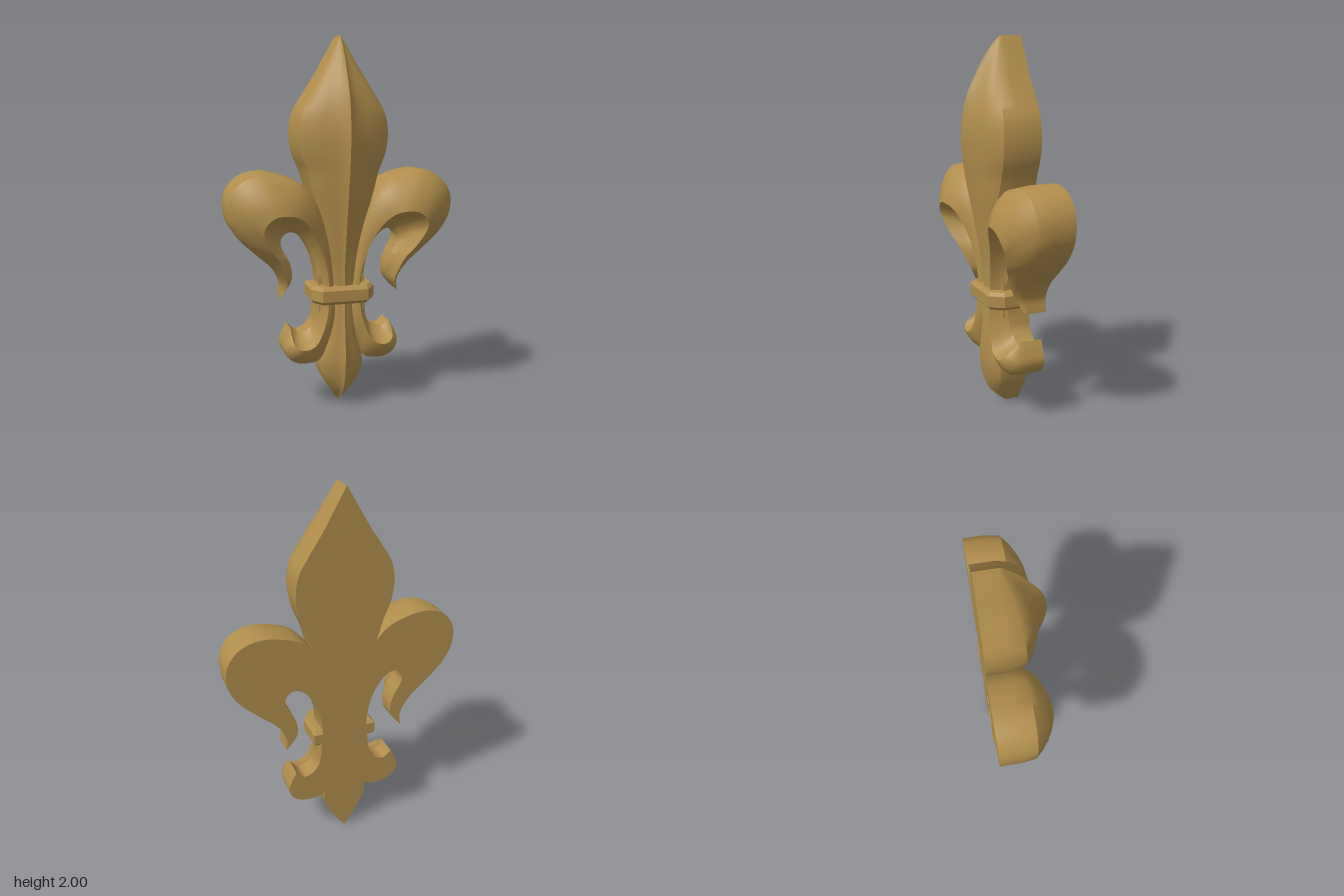
import * as THREE from 'three';
import { toCreasedNormals, mergeVertices } from 'three/addons/utils/BufferGeometryUtils.js';

const BACK = -0.165;

// Cross-section profiles from edge to ridge: [fraction across, fraction of height]
const CUSPED = [[0, 0], [0.07, 0.38], [0.25, 0.55], [0.5, 0.68], [0.75, 0.78], [0.92, 0.9], [1, 1]];
const ROUNDED = [[0, 0], [0.06, 0.43], [0.25, 0.64], [0.5, 0.82], [0.75, 0.94], [1, 1]];
const HOLLOW = [[0, 0], [0.2, 0.1], [0.45, 0.28], [0.7, 0.55], [0.88, 0.82], [1, 1]];

// Lofts a flat-backed petal. Each row is [outer edge, ridge, inner edge] as points.
function petalGeometry(rows, outerProfile, innerProfile, side = 1, steps = 90) {
  const [outer, ridge, inner] = [0, 1, 2].map(
    k => new THREE.CatmullRomCurve3(rows.map(r => new THREE.Vector3(...r[k]))));
  const positions = [], index = [];
  let n = 0;
  for (let i = 0; i <= steps; i++) {
    const t = i / steps;
    const o = outer.getPoint(t), c = ridge.getPoint(t), e = inner.getPoint(t);
    const at = (a, [s, f]) => [a.x + (c.x - a.x) * s, a.y + (c.y - a.y) * s, a.z + (c.z - a.z) * f];
    const loop = [
      [o.x, o.y, BACK],
      ...outerProfile.map(p => at(o, p)),
      ...innerProfile.slice(0, -1).reverse().map(p => at(e, p)),
      [e.x, e.y, BACK],
    ];
    n = loop.length;
    loop.forEach(([x, y, z]) => positions.push(x * side, y, z));
  }
  for (let i = 0; i < steps; i++) {
    for (let j = 0; j < n; j++) {
      const a = i * n + j, b = i * n + (j + 1) % n, c = a + n, d = b + n;
      if (side > 0) index.push(a, b, d, a, d, c);
      else index.push(a, d, b, a, c, d);
    }
  }
  const geometry = new THREE.BufferGeometry();
  geometry.setAttribute('position', new THREE.Float32BufferAttribute(positions, 3));
  geometry.setIndex(index);
  return toCreasedNormals(mergeVertices(geometry, 1e-5), 0.6);
}

// Symmetric petal rows from [y, half width, edge z, ridge z]
const symmetric = list => list.map(([y, w, ez, rz]) => [[-w, y, ez], [0, y, rz], [w, y, ez]]);

export function createModel() {
  const group = new THREE.Group();
  const bronze = new THREE.MeshStandardMaterial({ color: 0xb08d4c });
  bronze.name = 'bronze';
  const add = (name, geometry) => {
    const mesh = new THREE.Mesh(geometry, bronze);
    mesh.name = name;
    group.add(mesh);
    return mesh;
  };

  // Tall pointed centre petal
  add('upperCentrePetal', petalGeometry(symmetric([
    [0.62, 0.05, 0, 0.04], [0.8, 0.07, 0, 0.05], [1.0, 0.115, -0.01, 0.085],
    [1.2, 0.175, -0.03, 0.125], [1.3, 0.205, -0.05, 0.145], [1.4, 0.243, -0.05, 0.158],
    [1.5, 0.255, -0.05, 0.165], [1.6, 0.238, -0.05, 0.157], [1.7, 0.18, -0.05, 0.135],
    [1.8, 0.115, -0.05, 0.09], [1.9, 0.058, -0.06, 0.035], [1.96, 0.024, -0.06, -0.01],
    [2.0, 0.001, -0.06, -0.045],
  ]), CUSPED, CUSPED));

  // Short pointed petal below the band
  add('lowerCentrePetal', petalGeometry(symmetric([
    [0, 0.001, -0.11, -0.09], [0.04, 0.03, -0.1, -0.04], [0.1, 0.067, -0.08, 0.015],
    [0.17, 0.105, -0.06, 0.045], [0.25, 0.121, -0.05, 0.062], [0.32, 0.108, -0.04, 0.065],
    [0.4, 0.08, -0.02, 0.06], [0.5, 0.06, 0, 0.05], [0.64, 0.045, 0, 0.04],
  ]), CUSPED, CUSPED));

  // Large drooping side petals, from band to tip
  const droop = [
    [[0.05, 0.62, 0], [0.075, 0.62, 0.035], [0.12, 0.62, -0.03]],
    [[0.06, 0.78, 0], [0.095, 0.78, 0.045], [0.13, 0.75, -0.04]],
    [[0.085, 0.95, 0], [0.14, 0.92, 0.065], [0.155, 0.85, -0.05]],
    [[0.15, 1.15, -0.01], [0.2, 1.03, 0.1], [0.195, 0.925, -0.05]],
    [[0.23, 1.245, -0.03], [0.26, 1.08, 0.125], [0.23, 0.965, -0.05]],
    [[0.35, 1.292, -0.05], [0.32, 1.095, 0.142], [0.265, 0.98, -0.05]],
    [[0.45, 1.302, -0.05], [0.375, 1.09, 0.145], [0.29, 0.978, -0.05]],
    [[0.55, 1.265, -0.05], [0.42, 1.06, 0.14], [0.31, 0.965, -0.05]],
    [[0.61, 1.18, -0.05], [0.44, 1.01, 0.125], [0.325, 0.94, -0.05]],
    [[0.61, 1.065, -0.05], [0.425, 0.96, 0.105], [0.325, 0.91, -0.05]],
    [[0.555, 0.965, -0.05], [0.39, 0.9, 0.085], [0.31, 0.875, -0.05]],
    [[0.46, 0.87, -0.05], [0.345, 0.84, 0.055], [0.285, 0.83, -0.05]],
    [[0.37, 0.785, -0.06], [0.315, 0.77, 0.025], [0.265, 0.76, -0.06]],
    [[0.325, 0.7, -0.07], [0.3, 0.695, -0.01], [0.272, 0.7, -0.07]],
    [[0.33, 0.625, -0.08], [0.328, 0.628, -0.045], [0.326, 0.63, -0.08]],
  ];

  // Small upturned curls, from tip to band
  const curl = [
    [[0.281, 0.458, -0.06], [0.28, 0.457, -0.04], [0.279, 0.457, -0.06]],
    [[0.305, 0.41, -0.06], [0.28, 0.42, 0], [0.258, 0.435, -0.06]],
    [[0.322, 0.35, -0.06], [0.272, 0.385, 0.04], [0.235, 0.42, -0.06]],
    [[0.3, 0.295, -0.06], [0.245, 0.362, 0.058], [0.21, 0.423, -0.06]],
    [[0.25, 0.262, -0.06], [0.21, 0.358, 0.06], [0.185, 0.435, -0.06]],
    [[0.19, 0.256, -0.06], [0.17, 0.372, 0.06], [0.165, 0.455, -0.06]],
    [[0.13, 0.27, -0.05], [0.14, 0.405, 0.055], [0.148, 0.485, -0.05]],
    [[0.09, 0.35, -0.03], [0.115, 0.46, 0.05], [0.14, 0.53, -0.05]],
    [[0.05, 0.5, 0], [0.095, 0.53, 0.045], [0.135, 0.57, -0.04]],
    [[0.045, 0.64, 0], [0.085, 0.64, 0.04], [0.13, 0.64, -0.03]],
  ];

  for (const [label, side] of [['left', 1], ['right', -1]]) {
    add(label + 'DroopingPetal', petalGeometry(droop, ROUNDED, HOLLOW, side));
    add(label + 'LowerCurl', petalGeometry(curl, ROUNDED, HOLLOW, side));
  }

  // Band tying the petals together, with chamfered ends and rims
  const bevel = 0.018;
  const outline = new THREE.Shape([
    [-0.157, 0.165], [-0.157, 0.01], [-0.115, -0.052],
    [0.115, -0.052], [0.157, 0.01], [0.157, 0.165],
  ].map(([x, y]) => new THREE.Vector2(x, y - bevel * (y > 0.1 ? 1 : 0))));
  const band = new THREE.ExtrudeGeometry(outline, {
    depth: 0.06, bevelEnabled: true, bevelThickness: bevel, bevelSize: bevel, bevelSegments: 1,
  });
  band.rotateX(-Math.PI / 2).translate(0, 0.615, 0);
  // The outline's y became -z, so the flat side lies on the back plane
  add('band', band);

  // Solid core behind the band
  const core = new THREE.BoxGeometry(0.25, 0.2, 0.145);
  core.translate(0, 0.64, BACK + 0.0725);
  add('core', core);

  return group;
}
